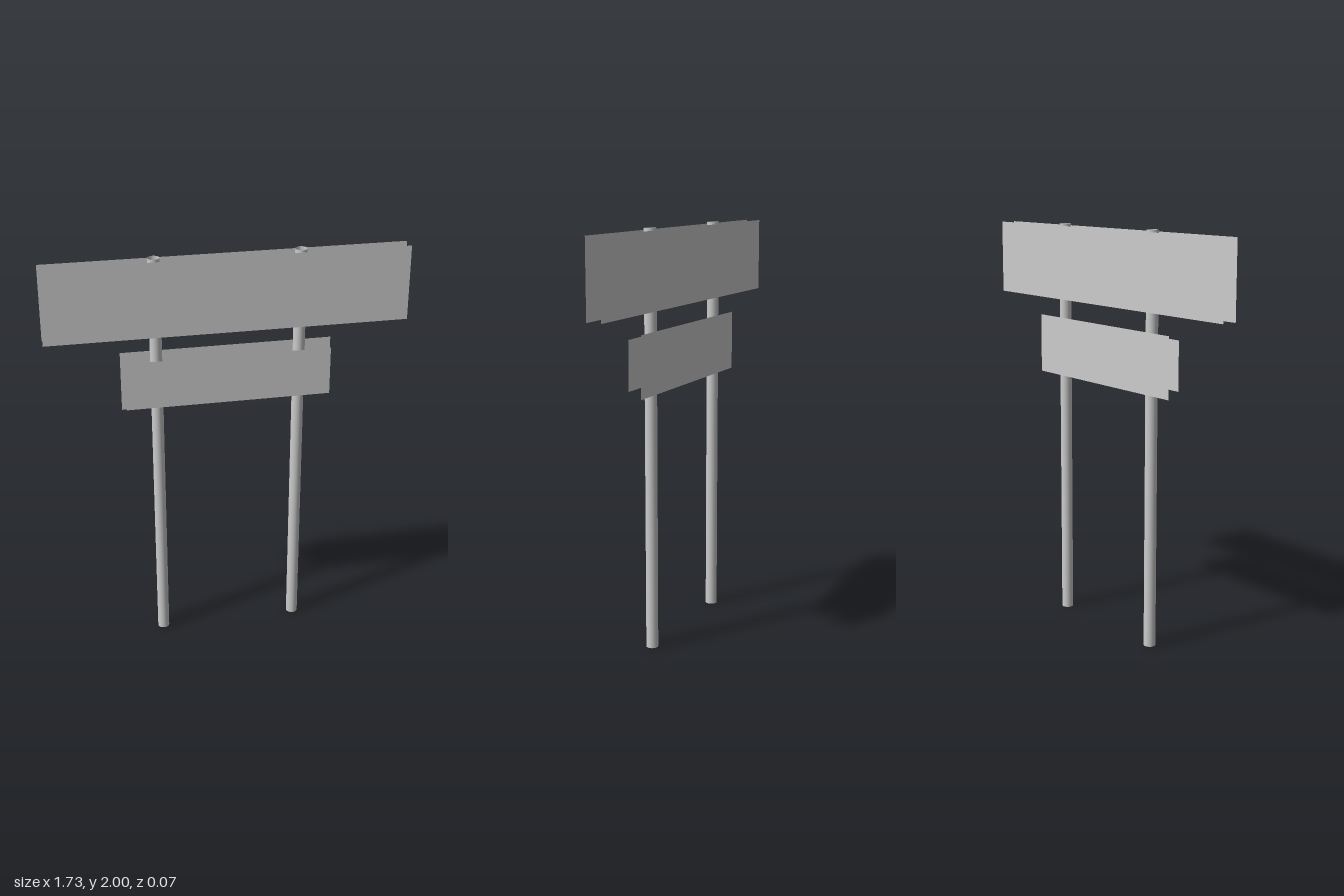
import * as THREE from 'three';

const material = new THREE.MeshStandardMaterial({ color: 0xcccccc, side: THREE.DoubleSide });

// Thin flat sheet, centred on x, facing outward from the posts
function panel(name, width, bottom, top, z) {
  const mesh = new THREE.Mesh(new THREE.PlaneGeometry(width, top - bottom), material);
  mesh.name = name;
  mesh.position.set(0, (bottom + top) / 2, z);
  if (z < 0) mesh.rotation.y = Math.PI;
  return mesh;
}

export function createModel() {
  const group = new THREE.Group();
  group.name = 'signpost';

  // Two open tubular posts
  const tube = new THREE.CylinderGeometry(0.029, 0.029, 2, 16, 1, true);
  for (const [name, x] of [['leftPost', 0.344], ['rightPost', -0.344]]) {
    const post = new THREE.Mesh(tube, material);
    post.name = name;
    post.position.set(x, 1, 0);
    group.add(post);
  }

  // Sign sheets in front of and behind the posts; the lower front one is smaller
  const gap = 0.036;
  group.add(
    panel('upperFrontPanel', 1.732, 1.626, 1.99, gap),
    panel('upperBackPanel', 1.732, 1.626, 1.99, -gap),
    panel('lowerFrontPanel', 0.988, 1.271, 1.508, gap),
    panel('lowerBackPanel', 1.02, 1.242, 1.535, -gap),
  );
  return group;
}
